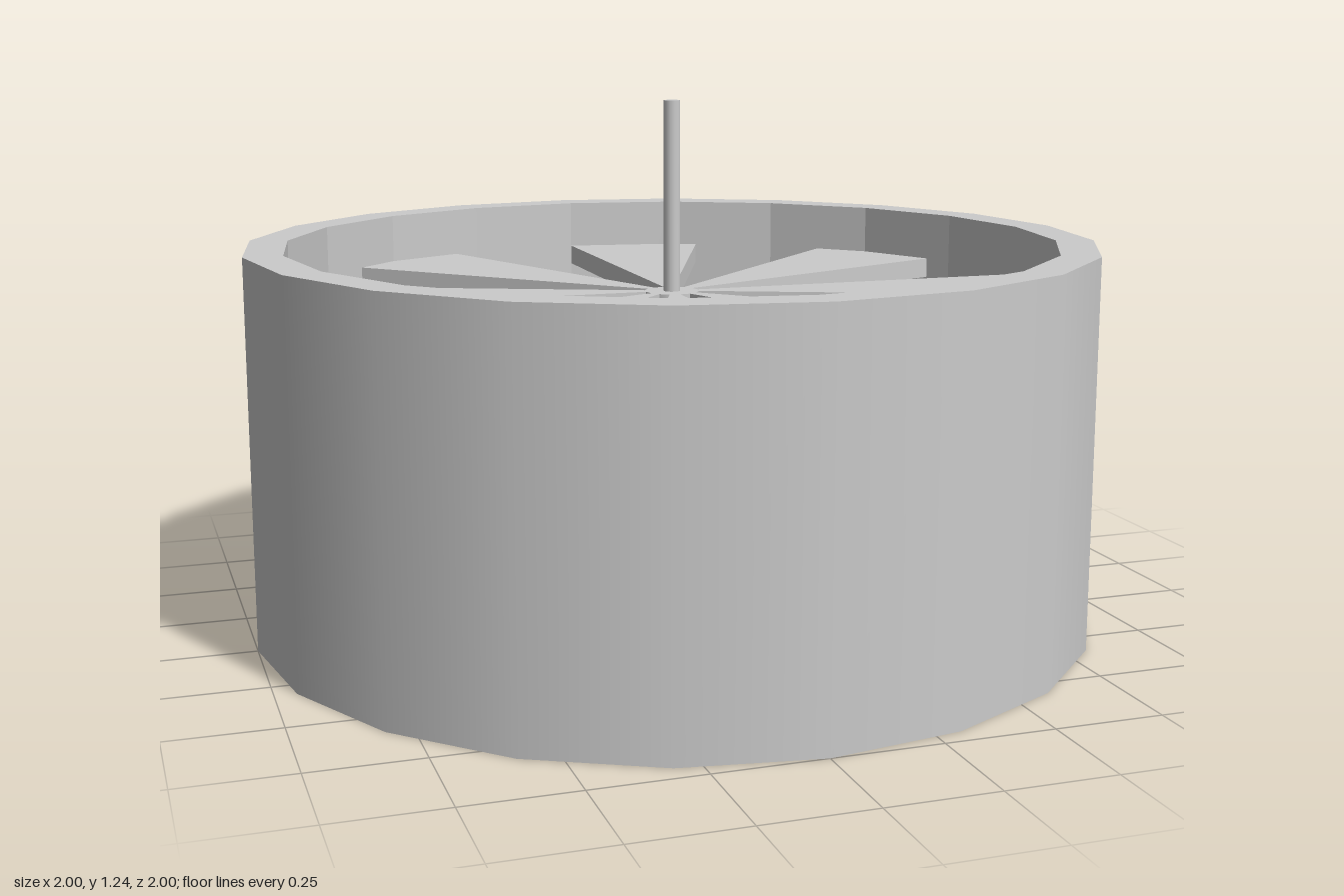
import * as THREE from 'three';

const SIDES = 20, HEIGHT = 0.91, OUTER = 1, INNER = 0.91;
const BLADES = 8, BLADE_TOP = 0.79, BLADE_THICK = 0.05;

export function createModel() {
  const group = new THREE.Group();
  const smooth = new THREE.MeshStandardMaterial({ color: 0xcccccc });
  const faceted = new THREE.MeshStandardMaterial({ color: 0xcccccc, flatShading: true });

  const add = (name, geometry, material, y = 0, parent = group) => {
    const mesh = new THREE.Mesh(geometry, material);
    mesh.name = name;
    mesh.position.y = y;
    parent.add(mesh);
    return mesh;
  };

  // Drum: smooth outer wall, faceted inner wall, flat rims
  const drum = new THREE.Group();
  drum.name = 'drum';
  group.add(drum);
  add('outerWall', new THREE.CylinderGeometry(OUTER, OUTER, HEIGHT, SIDES, 1, true), smooth, HEIGHT / 2, drum);
  const lining = new THREE.CylinderGeometry(INNER, INNER, HEIGHT, SIDES, 1, true).scale(-1, 1, 1).toNonIndexed();
  lining.computeVertexNormals();
  add('innerWall', lining, faceted, HEIGHT / 2, drum);
  const rim = () => new THREE.RingGeometry(INNER, OUTER, SIDES);
  add('topRim', rim().rotateX(-Math.PI / 2), faceted, HEIGHT, drum);
  add('bottomRim', rim().rotateX(Math.PI / 2), faceted, 0, drum);

  // Fan blades: flat wedges whose tips end just inside the drum wall
  const sweep = Math.PI / BLADES, tip = 0.92;
  const wedge = new THREE.Shape();
  wedge.moveTo(0, 0);
  for (let i = 0; i <= 2; i++) {
    const a = (sweep * i) / 2 - sweep;
    wedge.lineTo(tip * Math.cos(a), tip * Math.sin(a));
  }
  wedge.closePath();
  const bladeGeometry = new THREE.ExtrudeGeometry(wedge, { depth: BLADE_THICK, bevelEnabled: false })
    .rotateX(-Math.PI / 2);
  const fan = new THREE.Group();
  fan.name = 'fan';
  group.add(fan);
  for (let i = 0; i < BLADES; i++) {
    const blade = add('blade', bladeGeometry, faceted, BLADE_TOP - BLADE_THICK, fan);
    blade.rotation.y = (i * Math.PI * 2) / BLADES;
  }
  add('hub', new THREE.CylinderGeometry(0.065, 0.065, BLADE_THICK, 16), smooth, BLADE_TOP - BLADE_THICK / 2, fan);

  // Rod from the bulb up through the hub
  const rodBottom = 0.34, rodTop = 1.24;
  add('rod', new THREE.CylinderGeometry(0.02, 0.02, rodTop - rodBottom, 12), smooth, (rodTop + rodBottom) / 2);

  // Round bulb hanging inside the drum
  add('bulb', new THREE.SphereGeometry(0.245, 20, 14), smooth, rodBottom);

  return group;
}
